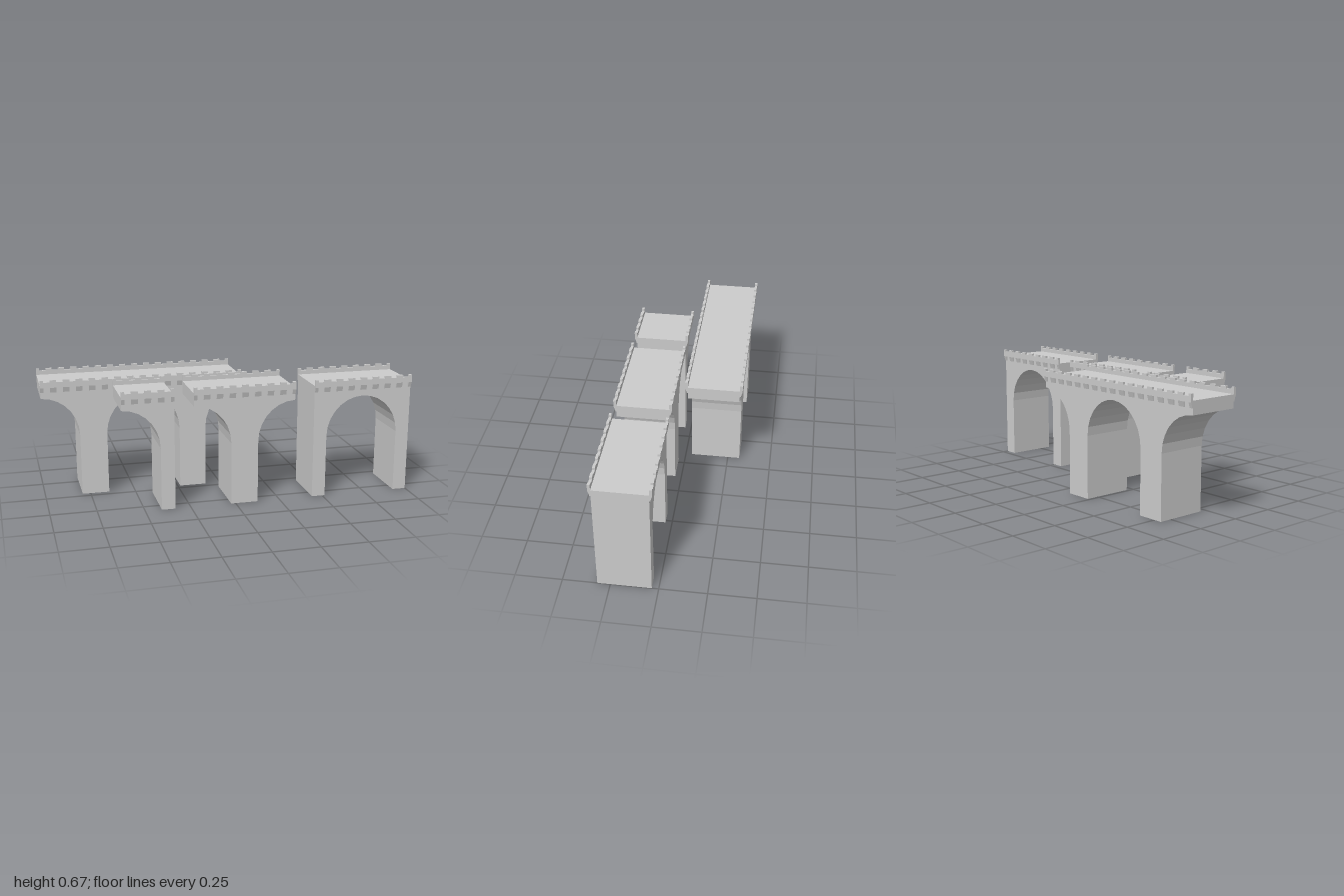
import * as THREE from 'three';
import { mergeGeometries } from 'three/addons/utils/BufferGeometryUtils.js';

const HALF = 0.141;      // half depth of the walls
const OUTER = 0.1555;    // outer face of the parapets
const DECK = 0.633, LOW = 0.655, TOP = 0.667;
const PITCH = 0.07;      // merlon and corbel spacing
const SPRING = 0.345, RX = 0.205, RY = 0.218, STEPS = 14;

const material = new THREE.MeshStandardMaterial({ color: 0xcccccc, flatShading: true });

function extrude(points, depth) {
  const shape = new THREE.Shape(points.map(([a, b]) => new THREE.Vector2(a, b)));
  return new THREE.ExtrudeGeometry(shape, { depth, bevelEnabled: false });
}

function addMesh(group, name, geometry) {
  const mesh = new THREE.Mesh(geometry, material);
  mesh.name = name;
  group.add(mesh);
  return mesh;
}

// Wall outline; arches centred on an end are cut in half there
function archedWall(x0, x1, arches) {
  const inside = ([x]) => x > x0 - 1e-4 && x < x1 + 1e-4;
  const points = [];
  if (Math.abs(arches[0] - x0) > 1e-3) points.push([x0, 0]);
  for (const c of arches) {
    const arch = [[c - RX, 0]];
    for (let i = 0; i <= STEPS; i++) {
      const a = Math.PI * (1 - i / STEPS);
      arch.push([c + RX * Math.cos(a), SPRING + RY * Math.sin(a)]);
    }
    arch.push([c + RX, 0]);
    points.push(...arch.filter(inside));
  }
  if (Math.abs(arches[arches.length - 1] - x1) > 1e-3) points.push([x1, 0]);
  points.push([x1, DECK], [x0, DECK]);
  return extrude(points, 2 * HALF).translate(0, 0, -HALF);
}

// Calls back with the span of each merlon, half ones at both ends
function eachMerlon(x0, x1, fn) {
  const count = Math.round((x1 - x0) / PITCH);
  const pitch = (x1 - x0) / count;
  for (let i = 0; i <= count; i++) {
    const c = x0 + i * pitch;
    fn(Math.max(x0, c - pitch / 4), Math.min(x1, c + pitch / 4));
  }
}

// Crenellated strip, front side
function parapet(x0, x1) {
  const bottom = 0.625;
  const points = [[x1, bottom], [x0, bottom]];
  eachMerlon(x0, x1, (a, b) => {
    if (a > x0) points.push([a, LOW]);
    points.push([a, TOP], [b, TOP]);
    if (b < x1) points.push([b, LOW]);
  });
  return extrude(points, OUTER - HALF).translate(0, 0, HALF);
}

// Row of tapered brackets beneath the parapet, front side
function corbels(x0, x1) {
  const profile = [[-HALF, 0.597], [-0.146, 0.597], [-OUTER, 0.63], [-HALF, 0.63]];
  const parts = [];
  eachMerlon(x0, x1, (a, b) => {
    parts.push(extrude(profile, b - a).rotateY(Math.PI / 2).translate(a, 0, 0));
  });
  return mergeGeometries(parts);
}

function bridgeSection(name, x0, x1, z, arches) {
  const group = new THREE.Group();
  group.name = name;
  const mid = (x0 + x1) / 2, h = (x1 - x0) / 2;
  addMesh(group, 'archedWall', archedWall(-h, h, arches.map((c) => c - mid)));
  for (const [side, turn] of [['front', 0], ['back', Math.PI]]) {
    addMesh(group, side + 'Parapet', parapet(-h, h)).rotation.y = turn;
    addMesh(group, side + 'Corbels', corbels(-h, h)).rotation.y = turn;
  }
  group.position.set(mid, 0, z);
  return group;
}

export function createModel() {
  const model = new THREE.Group();
  model.name = 'bridgeSections';
  const z = 0.1766;
  model.add(
    bridgeSection('longSection', -1, 0.12, -z, [-1, -0.44, 0.12]),
    bridgeSection('endSection', -0.615, -0.335, z, [-0.615]),
    bridgeSection('pierSection', -0.23, 0.33, z, [-0.23, 0.33]),
    bridgeSection('archSection', 0.44, 1, z, [0.72]),
  );
  return model;
}
